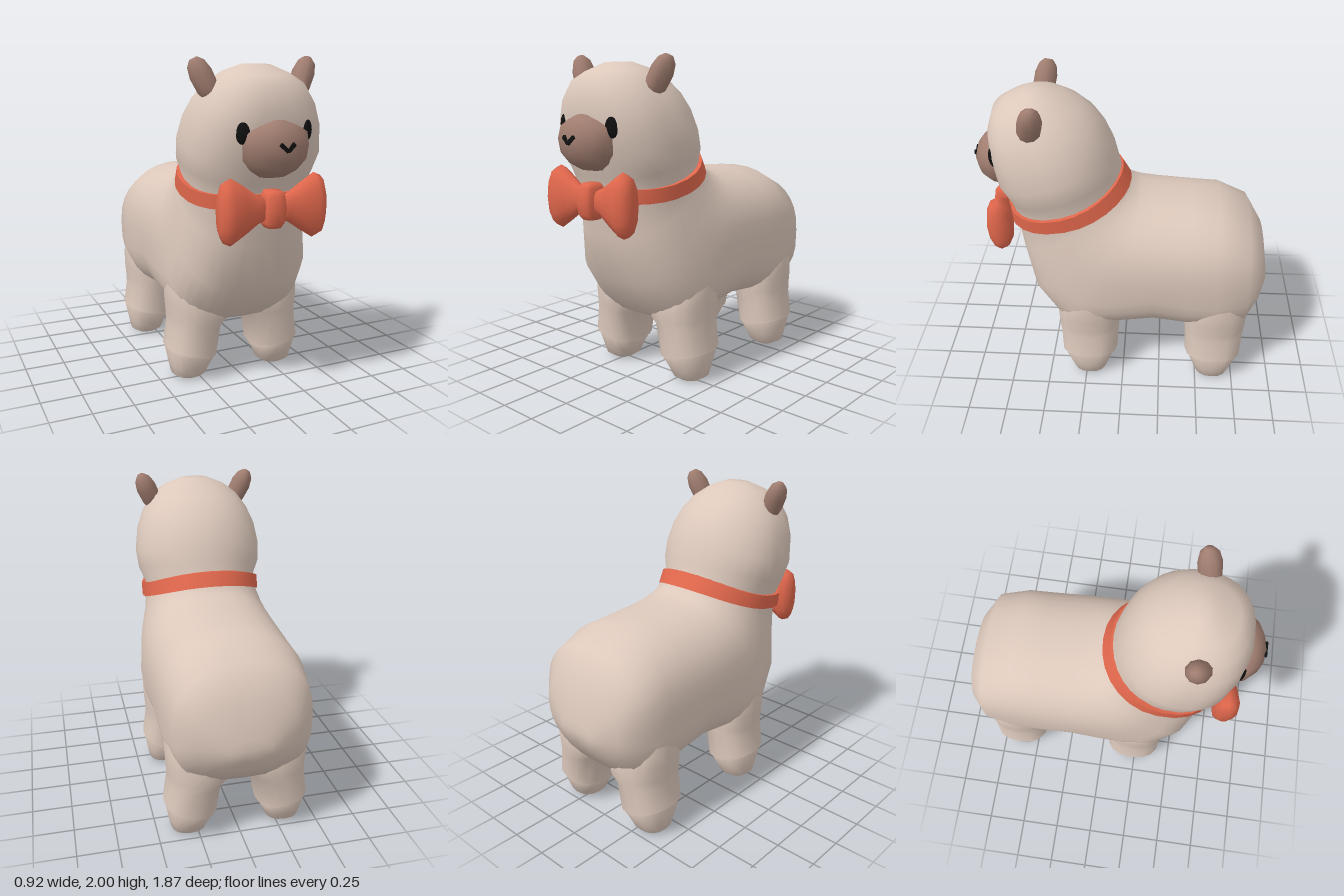
import * as THREE from 'three';
import { toCreasedNormals } from 'three/addons/utils/BufferGeometryUtils.js';

const paint = (color) => new THREE.MeshStandardMaterial({ color, roughness: 0.9 });

// Superellipse ring of pairs (u, v) in -1..1, with its own squareness for the u < 0 half
function superRing(count, n, nLow = n) {
  return Array.from({ length: count }, (_, i) => {
    const t = (i / count) * Math.PI * 2;
    const power = 2 / (Math.cos(t) < 0 ? nLow : n);
    const f = (a) => Math.sign(a) * Math.pow(Math.abs(a), power);
    return [f(Math.cos(t)), f(Math.sin(t))];
  });
}

// Skin over rings of [x, y, z]; ends are capped, or joined when 'closed'
function loft(rings, closed = false) {
  const n = rings[0].length, pos = rings.flat(2), idx = [];
  const spans = closed ? rings.length : rings.length - 1;
  for (let r = 0; r < spans; r++) {
    const p = r * n, q = ((r + 1) % rings.length) * n;
    for (let i = 0; i < n; i++) {
      const j = (i + 1) % n;
      idx.push(p + i, p + j, q + j, p + i, q + j, q + i);
    }
  }
  if (!closed) {
    for (const [r, flip] of [[0, true], [rings.length - 1, false]]) {
      const c = pos.length / 3;
      for (let k = 0; k < 3; k++) pos.push(rings[r].reduce((s, p) => s + p[k], 0) / n);
      for (let i = 0; i < n; i++) {
        const a = r * n + i, b = r * n + ((i + 1) % n);
        idx.push(...(flip ? [b, a, c] : [a, b, c]));
      }
    }
  }
  // Turn the faces outward if the enclosed volume is negative
  const v = (i) => new THREE.Vector3().fromArray(pos, i * 3);
  let volume = 0;
  for (let i = 0; i < idx.length; i += 3) volume += v(idx[i]).dot(v(idx[i + 1]).cross(v(idx[i + 2])));
  if (volume < 0) idx.reverse();
  const g = new THREE.BufferGeometry();
  g.setAttribute('position', new THREE.Float32BufferAttribute(pos, 3));
  g.setIndex(idx);
  g.computeVertexNormals();
  return g;
}

export function createModel() {
  const model = new THREE.Group();
  model.name = 'alpaca';
  const wool = paint(0xdcc8bb), brown = paint(0xa07d70), red = paint(0xe0674c), black = paint(0x101010);
  const add = (name, geometry, material, parent = model) => {
    const m = new THREE.Mesh(geometry, material);
    m.name = name;
    parent.add(m);
    return m;
  };

  // Body, neck and head: [top z, top y, bottom z, bottom y, half width, upper and lower squareness]
  const sections = [
    [-0.938, 0.76, -0.935, 0.62, 0.13, 2, 2],
    [-0.895, 1.0, -0.875, 0.53, 0.31, 2.2, 2.4],
    [-0.79, 1.17, -0.8, 0.43, 0.415, 2.4, 3],
    [-0.6, 1.255, -0.6, 0.4, 0.447, 2.4, 3.5],
    [-0.42, 1.27, -0.42, 0.4, 0.453, 2.3, 3.2],
    [-0.2, 1.285, -0.2, 0.41, 0.457, 2.3, 2.8],
    [-0.1, 1.3, 0.04, 0.395, 0.458, 2.3, 3.2],
    [-0.07, 1.315, 0.22, 0.39, 0.455, 2.3, 3.5],
    [-0.04, 1.33, 0.41, 0.41, 0.447, 2.3, 3.5],
    [-0.02, 1.35, 0.595, 0.65, 0.42, 2.2, 3],
    [0, 1.38, 0.662, 0.93, 0.382, 2.1, 2.5],
    [0.015, 1.41, 0.695, 1.17, 0.362, 2, 2.4],
    [0.04, 1.5, 0.722, 1.3, 0.408, 2, 2.5],
    [0.065, 1.6, 0.785, 1.42, 0.418, 2, 2.6],
    [0.11, 1.7, 0.82, 1.6, 0.395, 2, 2.5],
    [0.17, 1.79, 0.825, 1.73, 0.348, 2, 2.4],
    [0.25, 1.86, 0.79, 1.85, 0.282, 2, 2.2],
    [0.36, 1.925, 0.72, 1.9, 0.2, 2, 2],
    [0.47, 1.96, 0.6, 1.955, 0.09, 2, 2],
  ];
  add('bodyAndHead', loft(sections.map(([tz, ty, bz, by, w, n, nLow]) =>
    superRing(32, n, nLow).map(([u, v]) => [
      w * v,
      (ty + by) / 2 + ((ty - by) / 2) * u,
      (tz + bz) / 2 + ((tz - bz) / 2) * u,
    ]))), wool);

  // Legs: [y, centre x, half width, half depth, outward rise of the hem]
  const legRings = [
    [0.72, 0.22, 0.2, 0.15, 0],
    [0.6, 0.235, 0.205, 0.195, 0],
    [0.5, 0.235, 0.2, 0.212, 0],
    [0.41, 0.236, 0.192, 0.207, 0],
    [0.36, 0.262, 0.164, 0.197, 0],
    [0.18, 0.29, 0.16, 0.187, 0.03],
  ];
  const footRings = [
    [0.21, 0.29, 0.13, 0.15, 0.02],
    [0.165, 0.292, 0.15, 0.172, 0.03],
    [0.08, 0.3, 0.123, 0.135, 0.01],
    [0.025, 0.302, 0.108, 0.11, 0],
    [0.004, 0.3, 0.075, 0.08, 0],
  ];
  for (const [end, zc] of [['front', 0.228], ['back', -0.612]]) {
    for (const [side, s] of [['Left', 1], ['Right', -1]]) {
      const limb = (rows) => loft(rows.map(([y, x, hx, hz, rise]) =>
        superRing(16, 2.4).map(([u, v]) => [s * (x + hx * u), y + rise * u, zc + hz * v])));
      add(`${end}${side}Leg`, toCreasedNormals(limb(legRings), 0.9), wool);
      add(`${end}${side}Foot`, limb(footRings), wool);
    }
  }

  // Collar band, rising to the nape and leaning with the neck there
  const collarProfile = [[-0.04, -0.042], [0.006, -0.042], [0.006, 0.042], [-0.04, 0.042]];
  const collar = loft(collarProfile.map(([out, dy]) =>
    superRing(28, 2.4, 2.1).map(([u, v]) => {
      const z = 0.362 + 0.37 * u;
      const lean = 0.3 * (1 - u) * dy;
      return [(0.388 + out) * v, 1.205 + 0.21 * ((0.75 - z) / 0.77) ** 2.3 + dy, z + out * u + lean];
    })), true);
  add('collar', toCreasedNormals(collar, 0.7), red);

  // Bow tie
  const bow = new THREE.Group();
  bow.name = 'bowTie';
  bow.position.set(0, 1.17, 0.765);
  model.add(bow);
  const wing = [ // x, half height, half depth
    [0.03, 0.06, 0.035], [0.1, 0.085, 0.045], [0.18, 0.14, 0.068],
    [0.26, 0.19, 0.085], [0.305, 0.17, 0.075], [0.33, 0.11, 0.04],
  ];
  for (const [side, s] of [['left', 1], ['right', -1]]) {
    add(`${side}BowWing`, loft(wing.map(([x, hy, hz]) =>
      superRing(12, 2.1).map(([u, v]) => [s * x, hy * u, hz * v]))), red, bow);
  }
  const knot = [[-0.105, 0.045, 0.05], [-0.075, 0.06, 0.075], [0, 0.068, 0.088], [0.075, 0.06, 0.075], [0.105, 0.045, 0.05]];
  add('bowKnot', loft(knot.map(([y, hx, hz]) =>
    superRing(12, 3).map(([u, v]) => [hx * u, y, hz * v]))), red, bow);

  // Muzzle: [y, half width, centre z, half depth]
  const muzzle = [
    [1.352, 0.08, 0.755, 0.05], [1.39, 0.14, 0.765, 0.105], [1.45, 0.192, 0.765, 0.148],
    [1.53, 0.203, 0.765, 0.163], [1.6, 0.195, 0.765, 0.14], [1.64, 0.12, 0.775, 0.1], [1.668, 0.04, 0.79, 0.05],
  ];
  add('muzzle', loft(muzzle.map(([y, hx, z, hz]) =>
    superRing(16, 2).map(([u, v]) => [hx * u, y, z + hz * v]))), brown);

  // Ear: [distance along the ear, half width, half depth]
  const earRings = [
    [-0.13, 0.045, 0.055], [-0.06, 0.062, 0.07], [0.03, 0.066, 0.072],
    [0.09, 0.052, 0.056], [0.122, 0.024, 0.026],
  ];

  // Eyes, ears and the two strokes of the nose
  for (const [side, s] of [['left', 1], ['right', -1]]) {
    const eye = add(`${side}Eye`, new THREE.SphereGeometry(1, 14, 10), black);
    eye.scale.set(0.043, 0.064, 0.026);
    eye.position.set(s * 0.197, 1.603, 0.778);
    eye.rotation.y = s * 0.5;

    const ear = add(`${side}Ear`, loft(earRings.map(([y, hx, hz]) =>
      superRing(10, 2).map(([u, v]) => [hx * u, y, hz * v]))), brown);
    ear.position.set(s * 0.315, 1.882, 0.52);
    ear.rotation.set(-0.2, 0, -s * 0.42);

    const stroke = add(`${side}NoseStroke`, new THREE.BoxGeometry(0.058, 0.022, 0.025), black);
    stroke.position.set(s * 0.02, 1.53, 0.92);
    stroke.rotation.set(0, s * 0.12, s * 0.72);
  }
  return model;
}
